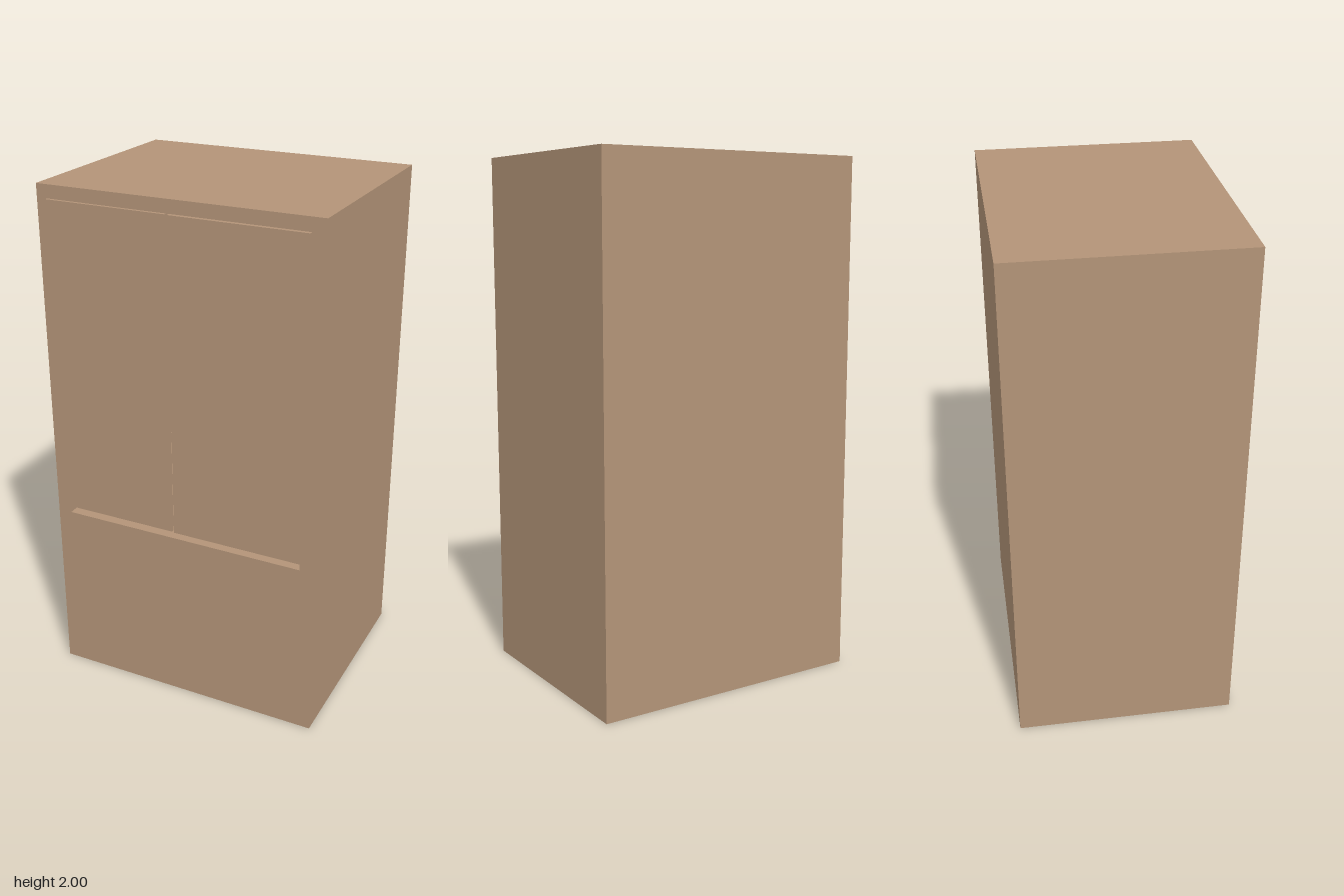
import * as THREE from 'three';

export function createModel() {
  const group = new THREE.Group();
  const wood = new THREE.MeshStandardMaterial({ color: 0xb39478 });
  wood.name = 'wood';

  const add = (name, geometry, x, y, z) => {
    const mesh = new THREE.Mesh(geometry, wood);
    mesh.name = name;
    mesh.position.set(x, y, z);
    group.add(mesh);
  };

  // Box without its front face, optionally turned inside out
  const openBox = (w, h, d, inward = false) => {
    const g = new THREE.BoxGeometry(w, h, d);
    const index = Array.from(g.index.array);
    index.splice(24, 6);
    g.setIndex(index);
    g.clearGroups();
    if (inward) {
      g.scale(-1, 1, 1);
      g.computeVertexNormals();
    }
    return g;
  };

  const W = 1.09, H = 2, back = -0.435, front = 0.418;
  const opening = { x0: -0.49, x1: 0.485, y0: 0.7, y1: 1.92 };
  const cavityBack = -0.4;

  // Outer shell: sides, top, bottom and back
  add('cabinetShell', openBox(W, H, front - back), 0, H / 2, (front + back) / 2);

  // Front face with the cupboard opening
  const face = new THREE.Shape();
  face.moveTo(-W / 2, 0).lineTo(W / 2, 0).lineTo(W / 2, H).lineTo(-W / 2, H).closePath();
  const { x0, x1, y0, y1 } = opening;
  const hole = new THREE.Path();
  hole.moveTo(x0, y0).lineTo(x0, y1).lineTo(x1, y1).lineTo(x1, y0).closePath();
  face.holes.push(hole);
  add('frontFrame', new THREE.ShapeGeometry(face), 0, 0, front);

  // Hollow interior behind the doors
  add('cupboardInterior', openBox(x1 - x0, y1 - y0, front - cavityBack, true),
    (x0 + x1) / 2, (y0 + y1) / 2, (front + cavityBack) / 2);

  // Pair of overlay doors with a narrow gap between them
  const doors = [
    ['rightDoor', -0.502, -0.03, 0.43],
    ['leftDoor', -0.02, 0.493, 0.434],
  ];
  for (const [name, a, b, z] of doors) {
    const depth = z - front;
    add(name, new THREE.BoxGeometry(b - a, 1.215, depth), (a + b) / 2, 1.3425, front + depth / 2);
  }
  return group;
}
